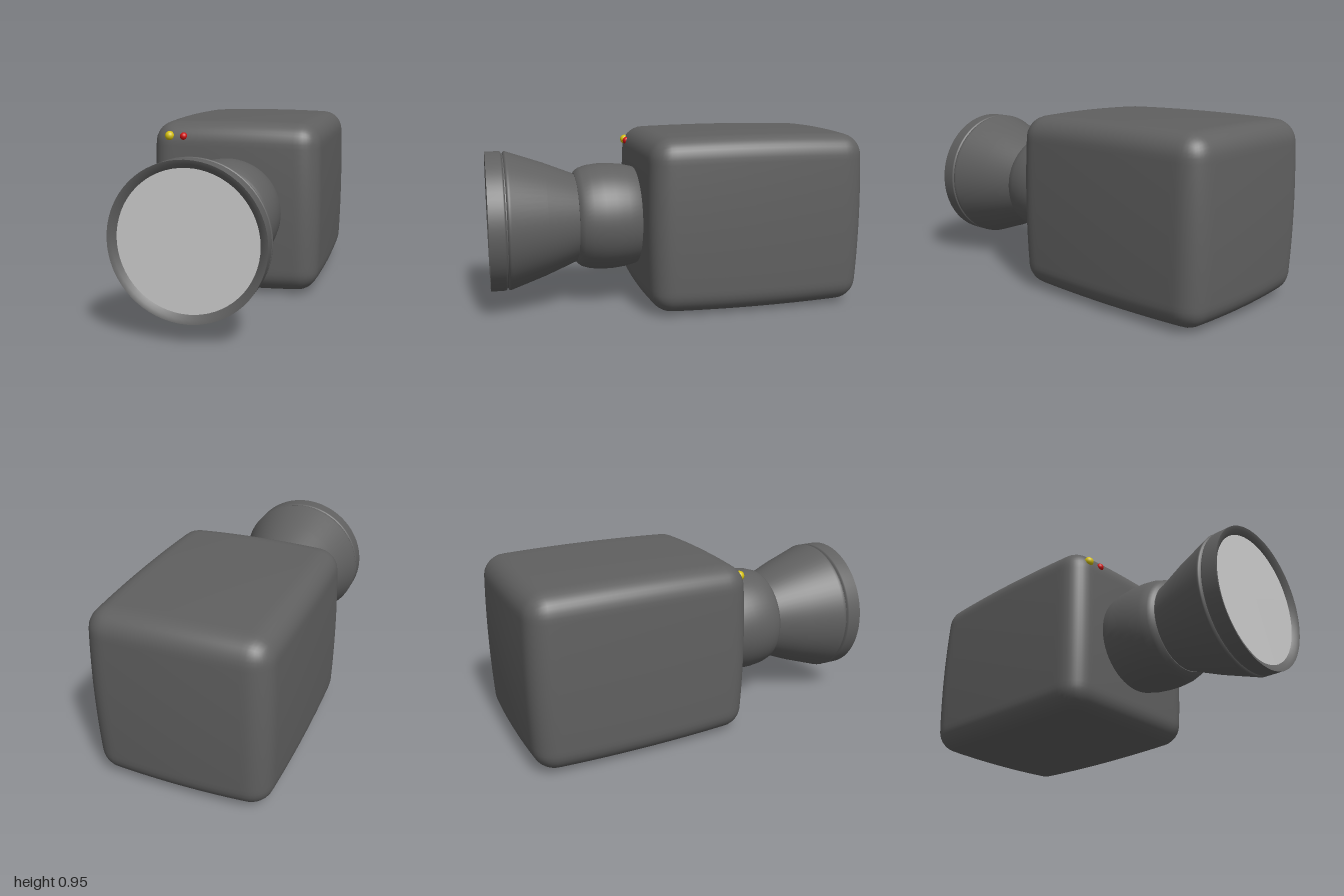
import * as THREE from 'three';
import { mergeVertices } from 'three/addons/utils/BufferGeometryUtils.js';

const AXIS_Y = 0.48;
const dark = new THREE.MeshStandardMaterial({ color: 0x606060, side: THREE.DoubleSide });
const glass = new THREE.MeshStandardMaterial({ color: 0xcccccc });
const yellow = new THREE.MeshStandardMaterial({ color: 0xd4c010 });
const red = new THREE.MeshStandardMaterial({ color: 0xd01010 });

// Box with rounded edges whose faces swell gently towards their middles
function pillowBox(half, radius, swell) {
  let geo = new THREE.BoxGeometry(half.x * 2, half.y * 2, half.z * 2, 36, 36, 40);
  geo.deleteAttribute('normal');
  geo.deleteAttribute('uv');
  geo = mergeVertices(geo);
  const pos = geo.attributes.position;
  const p = new THREE.Vector3(), core = new THREE.Vector3();
  const limit = half.clone().subScalar(radius);
  const low = limit.clone().negate();
  for (let i = 0; i < pos.count; i++) {
    p.fromBufferAttribute(pos, i);
    core.copy(p).clamp(low, limit);
    p.sub(core).setLength(radius).add(core);
    const a = (p.x / half.x) ** 2, b = (p.y / half.y) ** 2, c = (p.z / half.z) ** 2;
    pos.setXYZ(i,
      p.x * (1 - swell * (b + c)),
      p.y * (1 - swell * (a + c)),
      p.z * (1 - swell * (a + b)));
  }
  geo.computeVertexNormals();
  return geo;
}

// Turned part around the lens axis; profile is a list of [radius, z]
function turned(name, profile) {
  const points = profile.map(([r, z]) => new THREE.Vector2(r, z));
  const mesh = new THREE.Mesh(new THREE.LatheGeometry(points, 64), dark);
  mesh.name = name;
  mesh.rotation.x = Math.PI / 2;
  mesh.position.y = AXIS_Y;
  return mesh;
}

export function createModel() {
  const model = new THREE.Group();
  model.name = 'camera';

  // Housing
  const body = new THREE.Mesh(pillowBox(new THREE.Vector3(0.477, 0.476, 0.604), 0.11, 0.024), dark);
  body.name = 'body';
  body.position.set(0, AXIS_Y, -0.396);
  model.add(body);

  // Lens: bulging barrel, flared hood, groove and front ring
  const lens = new THREE.Group();
  lens.name = 'lens';
  lens.add(
    turned('barrel', [[0.25, 0.17], [0.272, 0.21], [0.286, 0.27], [0.293, 0.34], [0.293, 0.4],
      [0.286, 0.46], [0.272, 0.505], [0.258, 0.523], [0.245, 0.533]]),
    turned('barrelShoulder', [[0.245, 0.533], [0.2, 0.533]]),
    turned('hood', [[0.24, 0.53], [0.308, 0.7], [0.371, 0.885], [0.375, 0.895], [0.373, 0.903], [0.362, 0.908]]),
    turned('groove', [[0.362, 0.908], [0.362, 0.913]]),
    turned('frontRing', [[0.362, 0.913], [0.372, 0.917], [0.375, 0.923], [0.375, 1]]),
    turned('ringBevel', [[0.375, 1], [0.355, 0.993], [0.335, 0.975]]),
  );
  const pane = new THREE.Mesh(new THREE.CircleGeometry(0.336, 64), glass);
  pane.name = 'lensGlass';
  pane.position.set(0, AXIS_Y, 0.976);
  lens.add(pane);
  model.add(lens);

  // Indicator lamps
  for (const [name, x, z, r, mat] of [
    ['yellowLamp', -0.355, 0.178, 0.026, yellow],
    ['redLamp', -0.273, 0.183, 0.021, red],
  ]) {
    const lamp = new THREE.Mesh(new THREE.SphereGeometry(r, 24, 16), mat);
    lamp.name = name;
    lamp.position.set(x, 0.867, z);
    model.add(lamp);
  }
  return model;
}
